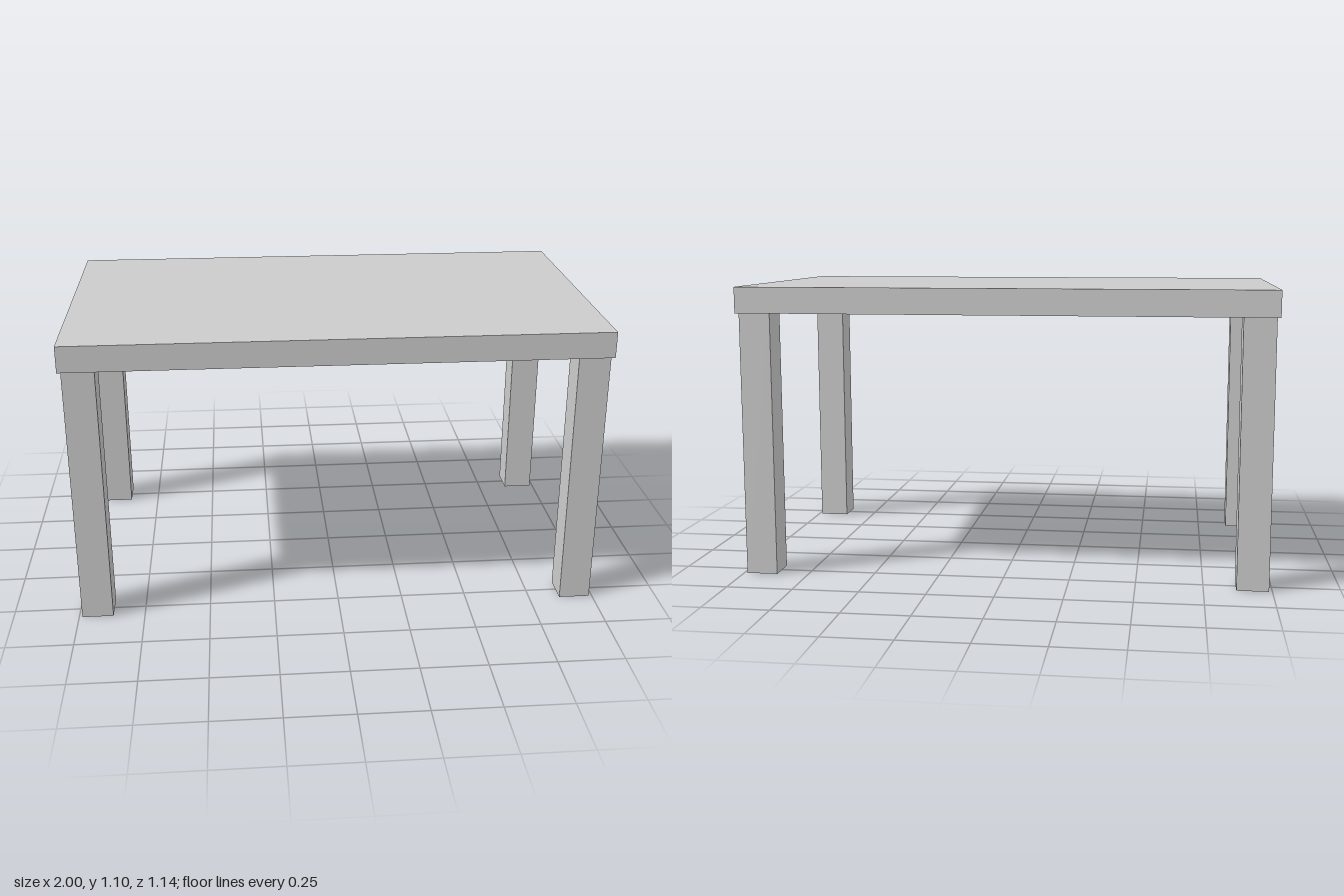
import * as THREE from 'three';

export function createModel() {
  const group = new THREE.Group();
  const material = new THREE.MeshStandardMaterial({ color: 0xcccccc });

  const legHeight = 1.0;
  const legWidth = 0.118;
  const topThickness = 0.098;

  // Rectangular slab resting on the legs
  const top = new THREE.Mesh(new THREE.BoxGeometry(2, topThickness, 1.142), material);
  top.name = 'tableTop';
  top.position.y = legHeight + topThickness / 2;
  group.add(top);

  // Four square legs, set slightly in from the corners
  const legGeometry = new THREE.BoxGeometry(legWidth, legHeight, legWidth);
  for (const [zName, z] of [['front', 1], ['back', -1]]) {
    for (const [xName, x] of [['Left', 1], ['Right', -1]]) {
      const leg = new THREE.Mesh(legGeometry, material);
      leg.name = `${zName}${xName}Leg`;
      leg.position.set(x * 0.929, legHeight / 2, z * 0.501);
      group.add(leg);
    }
  }

  return group;
}
